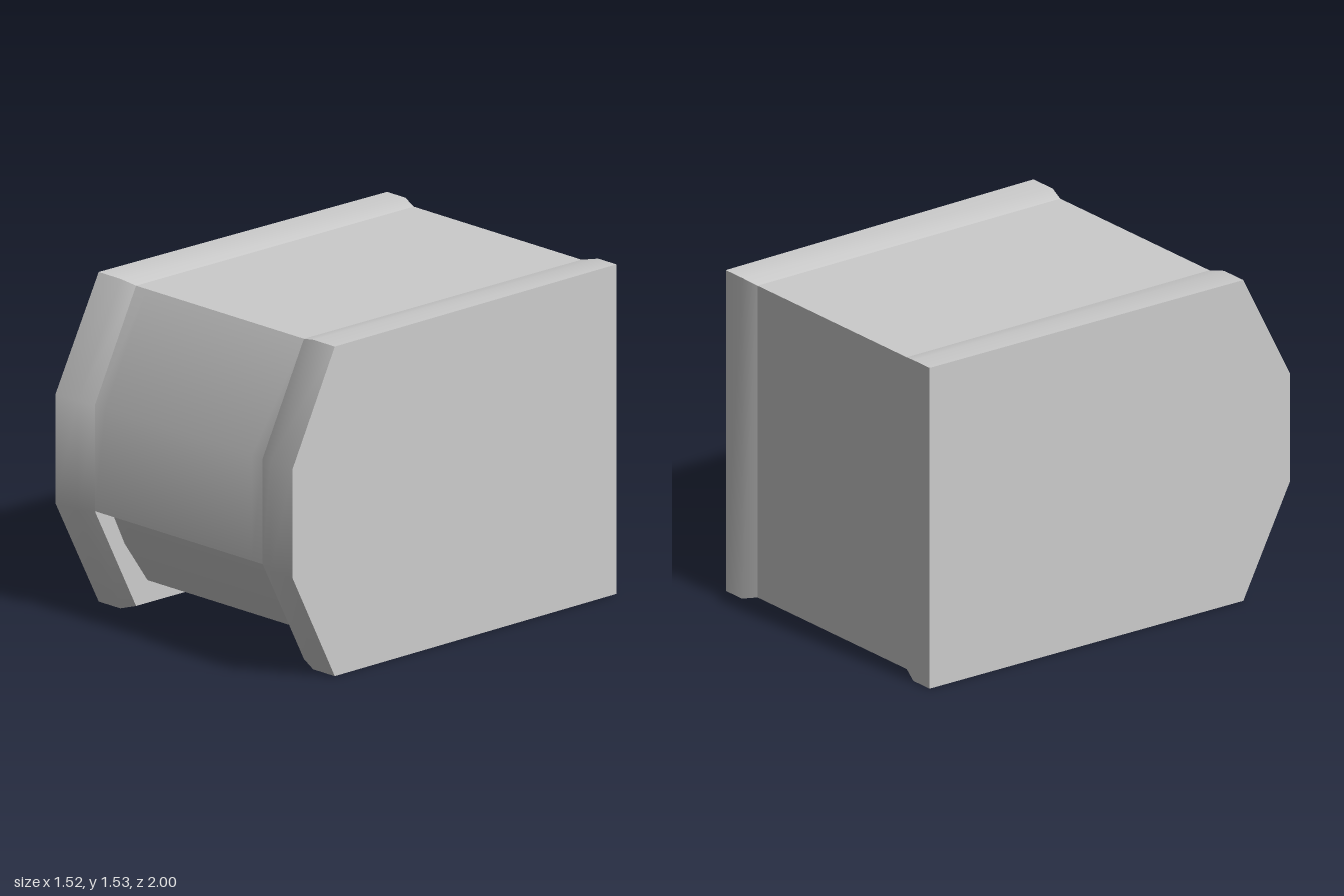
import * as THREE from 'three';
import { toCreasedNormals } from 'three/addons/utils/BufferGeometryUtils.js';

const OUTER = 0.75, BEND = 0.62, INNER = 0.54, RECESS = 0.47;

// Side profiles as [z, y], running along the bottom, up the front, back over the top
const rim = [[-1, 0], [0.74, 0], [1, 0.51], [1, 1.02], [0.74, 1.53], [-1, 1.53]];
const inset = [[-0.975, 0.025], [0.72, 0.025], [0.972, 0.52], [0.972, 1.01], [0.72, 1.512], [-0.975, 1.512]];
const slotWall = [[0.32, 0.025], [0.32, 0.13], [0.65, 0.13], [0.79, 0.33], [0.88, 0.52]];
const recess = [[-0.735, 0.025], [-0.735, 0.09], [0.04, 0.09], [0.04, 0.025]];
const slotted = [inset[0], ...slotWall, ...inset.slice(2)];
const slottedRecessed = [inset[0], ...recess, ...slotWall, ...inset.slice(2)];

// The outer sides taper slightly towards the back
function point([z, y], x) {
  const taper = Math.abs(x) === OUTER ? Math.sign(x) * 0.0125 * z : 0;
  return [x + taper, y, z];
}

// Skin between two matching profiles at x0 < x1
function loft(out, a, x0, b, x1) {
  a.forEach((p, i) => {
    const j = (i + 1) % a.length;
    const p0 = point(p, x0), p1 = point(b[i], x1);
    const q0 = point(a[j], x0), q1 = point(b[j], x1);
    out.push(...p0, ...p1, ...q1, ...p0, ...q1, ...q0);
  });
}

// Flat wall across x, facing +x or -x
function wall(out, outline, x, facing) {
  const pts = outline.map(([z, y]) => new THREE.Vector2(z, y));
  for (const [i, j, k] of THREE.ShapeUtils.triangulateShape(pts, [])) {
    const [a, b, c] = [pts[i], pts[j], pts[k]];
    const towardMinusX = (b.x - a.x) * (c.y - a.y) - (b.y - a.y) * (c.x - a.x) > 0;
    const order = towardMinusX === (facing < 0) ? [i, j, k] : [i, k, j];
    for (const n of order) out.push(...point(outline[n], x));
  }
}

function makeMesh(name, positions, material) {
  let geometry = new THREE.BufferGeometry();
  geometry.setAttribute('position', new THREE.Float32BufferAttribute(positions, 3));
  geometry = toCreasedNormals(geometry, 0.65);
  const mesh = new THREE.Mesh(geometry, material);
  mesh.name = name;
  return mesh;
}

export function createModel() {
  const group = new THREE.Group();
  group.name = 'housing';
  const material = new THREE.MeshStandardMaterial({ color: 0xcccccc });

  // Raised side rims, each easing down to the inset body
  for (const side of [-1, 1]) {
    const out = [];
    const sections = [[rim, OUTER], [rim, BEND], [inset, INNER]];
    for (let i = 0; i < 2; i++) {
      const [a, xa] = sections[i], [b, xb] = sections[i + 1];
      if (side > 0) loft(out, b, xb, a, xa);
      else loft(out, a, -xa, b, -xb);
    }
    wall(out, rim, side * OUTER, side);
    // Inner wall beside the front slot
    wall(out, [...slotWall, inset[2], inset[1]], side * INNER, -side);
    group.add(makeMesh(side > 0 ? 'leftRim' : 'rightRim', out, material));
  }

  // Centre body with the front slot and the shallow recess underneath
  const body = [];
  loft(body, slotted, -INNER, slotted, -RECESS);
  loft(body, slottedRecessed, -RECESS, slottedRecessed, RECESS);
  loft(body, slotted, RECESS, slotted, INNER);
  for (const side of [-1, 1]) wall(body, recess, side * RECESS, -side);
  group.add(makeMesh('centreBody', body, material));

  return group;
}
